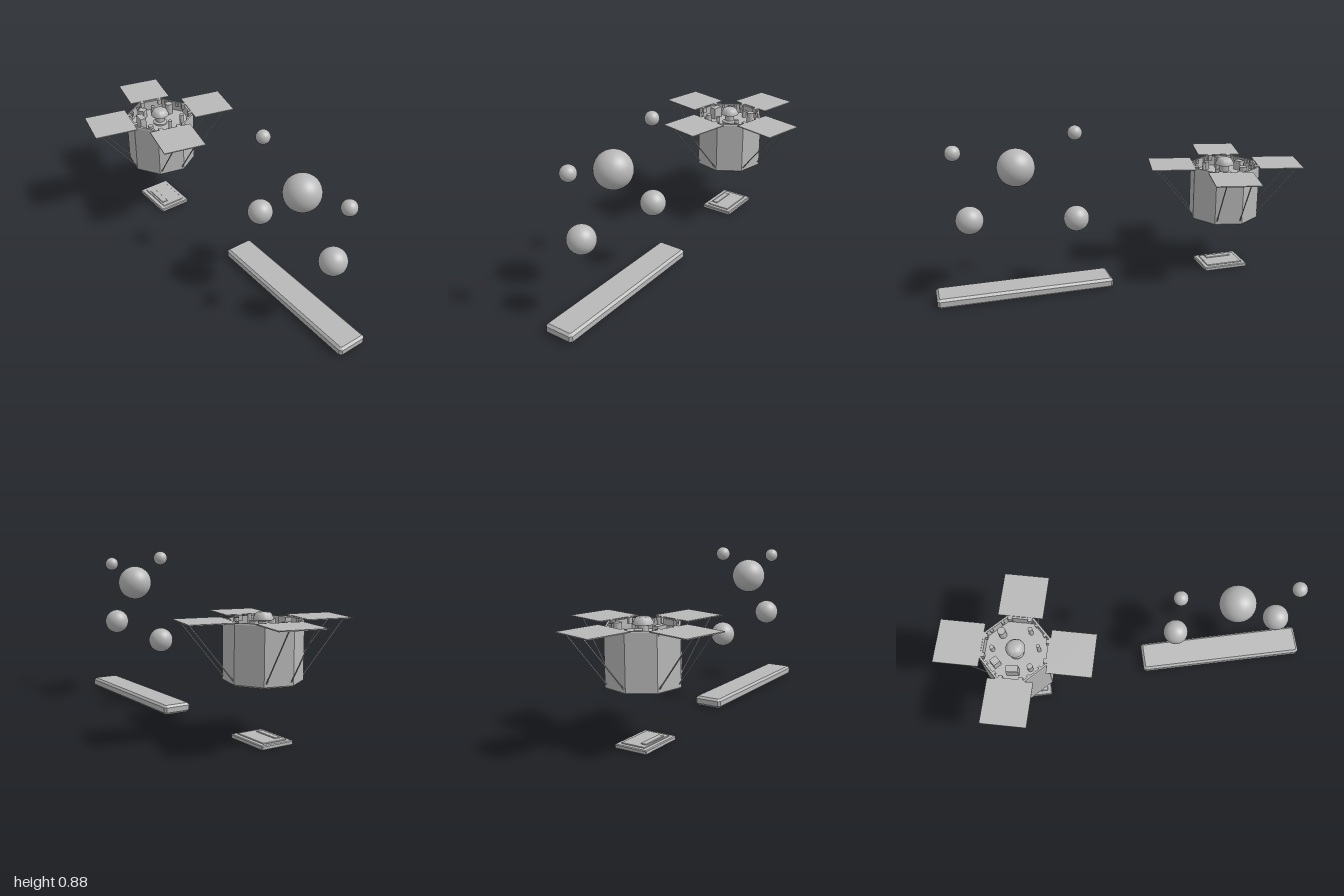
import * as THREE from 'three';
import { toCreasedNormals } from 'three/addons/utils/BufferGeometryUtils.js';

const grey = new THREE.MeshStandardMaterial({ color: 0xb8b8b8 });
grey.name = 'plain grey';

function add(parent, name, geometry, x = 0, y = 0, z = 0) {
  const mesh = new THREE.Mesh(geometry, grey);
  mesh.name = name;
  mesh.position.set(x, y, z);
  parent.add(mesh);
  return mesh;
}

// Flat slab with chamfered edges, resting on y = 0 of its own frame
function slab(w, h, d, c) {
  const a = w / 2 - c, b = d / 2 - c, k = c * 0.4;
  const shape = new THREE.Shape([
    [-a + k, -b], [a - k, -b], [a, -b + k], [a, b - k],
    [a - k, b], [-a + k, b], [-a, b - k], [-a, -b + k],
  ].map(([x, y]) => new THREE.Vector2(x, y)));
  const g = new THREE.ExtrudeGeometry(shape, {
    depth: h - 2 * c, bevelEnabled: true, bevelThickness: c, bevelSize: c, bevelSegments: 1,
  });
  g.translate(0, 0, c);
  g.rotateX(-Math.PI / 2);
  return toCreasedNormals(g, 0.3);
}

// Lathe with faceted or smooth sides
function turned(profile, sides, crease) {
  const g = new THREE.LatheGeometry(profile.map(([r, y]) => new THREE.Vector2(r, y)), sides);
  return toCreasedNormals(g, crease);
}

// Thin rod between two points
function rod(parent, name, from, to, radius) {
  const a = new THREE.Vector3(...from), b = new THREE.Vector3(...to);
  const dir = b.clone().sub(a);
  const mesh = add(parent, name, new THREE.CylinderGeometry(radius, radius, dir.length(), 6));
  mesh.position.copy(a).add(b).multiplyScalar(0.5);
  mesh.quaternion.setFromUnitVectors(new THREE.Vector3(0, 1, 0), dir.normalize());
}

function createSatellite() {
  const sat = new THREE.Group();
  sat.name = 'satellite';

  // Octagonal hull with a recessed upper deck
  const hull = add(sat, 'hull', turned([
    [0, 0.297], [0.184, 0.297], [0.19, 0.304], [0.19, 0.58], [0.187, 0.588],
    [0.176, 0.588], [0.176, 0.535], [0, 0.535],
  ], 8, 0.2));
  hull.rotation.y = Math.PI / 8;

  // Central antenna: flared foot, stem and domed cap
  add(sat, 'antenna', turned([
    [0.04, 0.535], [0.04, 0.543], [0.026, 0.55], [0.026, 0.582], [0.05, 0.588],
    [0.05, 0.594], [0.037, 0.617], [0.03, 0.622], [0, 0.623],
  ], 24, 0.6));

  // Four solar wings, each with hinges and a pair of struts
  for (let i = 0; i < 4; i++) {
    const wing = new THREE.Group();
    wing.name = 'solarWing';
    wing.rotation.y = i * Math.PI / 2;
    sat.add(wing);
    add(wing, 'panel', new THREE.BoxGeometry(0.235, 0.005, 0.235), 0.29, 0.591, 0);
    for (const s of [-1, 1]) {
      add(wing, 'hinge', new THREE.BoxGeometry(0.026, 0.03, 0.022), 0.164, 0.578, s * 0.052);
      rod(wing, 'strut', [0.392, 0.59, s * 0.062], [0.176, 0.322, s * 0.062], 0.0032);
    }
    // Rim fittings on the diagonal faces
    const fitting = new THREE.Group();
    fitting.name = 'rimFitting';
    fitting.rotation.y = Math.PI / 4;
    wing.add(fitting);
    for (const s of [-1, 1]) {
      add(fitting, 'rimBlock', new THREE.BoxGeometry(0.016, 0.02, 0.016), 0.16, 0.575, s * 0.035);
    }
  }

  // Instruments on the deck
  const box = add(sat, 'instrumentBox', new THREE.BoxGeometry(0.062, 0.063, 0.034), 0, 0.566, 0.112);
  box.rotation.y = 0.1;
  const sensor = add(sat, 'sensorBox', new THREE.BoxGeometry(0.04, 0.05, 0.04), -0.095, 0.56, 0.075);
  sensor.rotation.y = 0.8;
  for (const [x, z, r, top] of [
    [-0.085, -0.085, 0.021, 0.597], [0.06, -0.11, 0.012, 0.595],
    [0.115, -0.02, 0.01, 0.605], [0.085, 0.085, 0.015, 0.58], [-0.125, 0, 0.012, 0.575],
  ]) {
    const h = top - 0.535;
    add(sat, 'deckCanister', new THREE.CylinderGeometry(r, r, h, 14), x, 0.535 + h / 2, z);
  }

  sat.position.x = -0.583;
  sat.rotation.y = -0.227;
  return sat;
}

export function createModel() {
  const model = new THREE.Group();
  model.name = 'satelliteAndSpheres';
  model.add(createSatellite());

  // Stepped base plate below the satellite
  const plate = new THREE.Group();
  plate.name = 'basePlate';
  plate.position.set(-0.58, 0, 0);
  model.add(plate);
  add(plate, 'plateFoot', slab(0.248, 0.022, 0.182, 0.004), 0, 0.001, 0);
  add(plate, 'plateStep', slab(0.205, 0.006, 0.135, 0.002), 0, 0.022, 0);
  add(plate, 'plateRidge', slab(0.145, 0.006, 0.034, 0.002), 0, 0.027, 0.04);

  // Long chamfered base beam
  add(model, 'baseBeam', slab(0.91, 0.052, 0.16, 0.012), 0.542, 0.001, -0.061);

  // Floating spheres
  for (const [x, y, r] of [
    [0.264, 0.84, 0.037], [0.565, 0.685, 0.095], [0.865, 0.781, 0.039],
    [0.264, 0.386, 0.066], [0.806, 0.432, 0.07],
  ]) {
    add(model, 'sphere', new THREE.SphereGeometry(r, 40, 24), x, y, -0.064);
  }
  return model;
}
